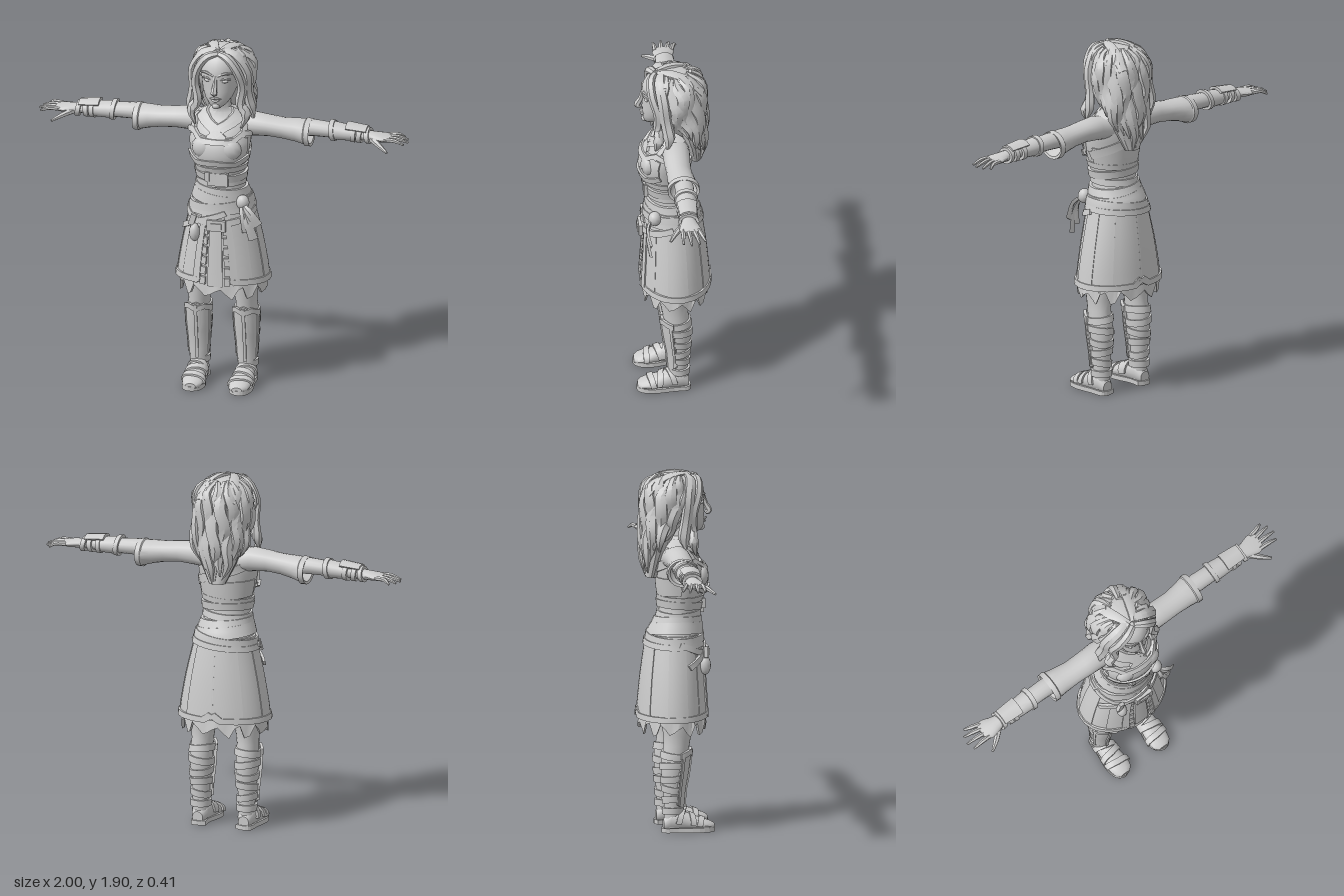
import * as THREE from 'three';
import { toCreasedNormals } from 'three/addons/utils/BufferGeometryUtils.js';

const PI = Math.PI;
const V = (x, y, z) => new THREE.Vector3(x, y, z);
const lerp = THREE.MathUtils.lerp;

// Closed solid from stacked loops of points (counter-clockwise about the stacking direction)
function skin(loops, crease = 0.65) {
  const mid = l => l.reduce((s, p) => s.add(p), V(0, 0, 0)).divideScalar(l.length);
  const first = mid(loops[0]), last = mid(loops[loops.length - 1]), n = loops[0].length;
  const rows = [loops[0].map(() => first), ...loops, loops[0].map(() => last)];
  const idx = [], end = rows.length - 2;
  for (let j = 0; j <= end; j++) for (let i = 0; i < n; i++) {
    const k = (i + 1) % n, a = j * n + i, b = j * n + k, c = b + n, d = a + n;
    if (j > 0) idx.push(a, b, c);
    if (j < end) idx.push(a, c, d);
  }
  const g = new THREE.BufferGeometry().setFromPoints(rows.flat());
  g.setIndex(idx);
  return toCreasedNormals(g, crease);
}

// Surface point on sections [t, cx, cz, rx, rz]; angle 0 faces +z, quarter turn faces +x
const ring = ([t, cx, cz, rx, rz], a, off = 0, wave = 1) =>
  V(cx + (rx * wave + off) * Math.sin(a), t, cz + (rz * wave + off) * Math.cos(a));
const surface = secs => (a, t, off) => {
  let i = 0;
  while (i < secs.length - 2 && t > secs[i + 1][0]) i++;
  const k = (t - secs[i][0]) / (secs[i + 1][0] - secs[i][0]);
  return ring(secs[i].map((v, j) => lerp(v, secs[i + 1][j], k)), a, off);
};
const loft = (secs, n = 20, wave = () => 1, lift = () => 0) => skin(secs.map((s, j) =>
  Array.from({ length: n }, (_, i) => {
    const a = i / n * 2 * PI, p = ring(s, a, 0, wave(a, j));
    p.y += lift(i, j);
    return p;
  })));

// Raised band lying on a surface along a path of [angle, t, width]
function strap(S, path, off = 0.012, steps = 5, rows = 1, deep = 0.015) {
  const pts = [];
  path.forEach((p, i) => {
    const q = path[i + 1];
    if (!q) pts.push(p);
    else for (let k = 0; k < steps; k++) pts.push(p.map((v, j) => lerp(v, q[j], k / steps)));
  });
  return skin(pts.map(([a, t, w], i) => {
    const p = pts[Math.max(0, i - 1)], q = pts[Math.min(pts.length - 1, i + 1)];
    const da = (q[0] - p[0]) * 0.15, dt = q[1] - p[1], L = Math.hypot(da, dt);
    const at = (s, o) => S(a - dt / L * s * w / 2 / 0.15, t + da / L * s * w / 2, o);
    const loop = [];
    for (let k = 0; k <= rows; k++) loop.push(at(1 - 2 * k / rows, off));
    for (let k = 0; k <= rows; k++) loop.push(at(2 * k / rows - 1, off - deep));
    return loop;
  }));
}

// Tapered strand through points [x, y, z, halfWidth, halfThickness]
function strand(points, ref = () => V(0, 1, 0), n = 6, steps = 3) {
  const curve = new THREE.CatmullRomCurve3(points.map(p => V(...p)));
  const m = (points.length - 1) * steps, loops = [];
  for (let s = 0; s <= m; s++) {
    const u = s / m, p = curve.getPoint(u), T = curve.getTangent(u);
    const i = Math.min(points.length - 2, Math.floor(s / steps)), k = s / steps - i;
    const w = lerp(points[i][3], points[i + 1][3], k), h = lerp(points[i][4], points[i + 1][4], k);
    const N = ref(p).addScaledVector(T, -ref(p).dot(T)).normalize(), B = T.clone().cross(N);
    loops.push(Array.from({ length: n }, (_, c) => p.clone()
      .addScaledVector(N, h * Math.cos(c / n * 2 * PI)).addScaledVector(B, w * Math.sin(c / n * 2 * PI))));
  }
  return skin(loops);
}

function mirrored(geo) {
  const g = (geo.index ? geo.toNonIndexed() : geo.clone()).scale(-1, 1, 1);
  for (const at of [g.attributes.position, g.attributes.normal]) for (let i = 0; i < at.count; i += 3) {
    const b = [at.getX(i + 1), at.getY(i + 1), at.getZ(i + 1)];
    at.setXYZ(i + 1, at.getX(i + 2), at.getY(i + 2), at.getZ(i + 2));
    at.setXYZ(i + 2, ...b);
  }
  return g;
}

export function createModel() {
  const model = new THREE.Group();
  const clay = new THREE.MeshStandardMaterial({ color: 0xcccccc });
  clay.name = 'light grey';
  const add = (name, geo) => {
    const m = new THREE.Mesh(geo, clay);
    m.name = name;
    model.add(m);
  };
  const pair = (name, geo) => { add(name + 'Left', geo); add(name + 'Right', mirrored(geo)); };
  const box = (w, h, d, x, y, z, rz = 0, ry = 0) =>
    new THREE.BoxGeometry(w, h, d).rotateZ(rz).rotateY(ry).translate(x, y, z);
  const ball = (x, y, z, rx, ry, rz) => new THREE.SphereGeometry(1, 12, 8).scale(rx, ry, rz).translate(x, y, z);
  const around = (t, w, tilt = 0, ph = 0) => Array.from({ length: 13 }, (_, i) =>
    [i / 6 * PI, t + tilt * Math.sin(i / 6 * PI + ph), w]);

  // Torso and neck
  const body = [[0.95, 0, 0, 0.165, 0.14], [1.05, 0, 0.005, 0.147, 0.132], [1.12, 0, 0.02, 0.125, 0.11],
    [1.18, 0, 0.028, 0.122, 0.103], [1.25, 0, 0.035, 0.135, 0.118], [1.32, 0, 0.04, 0.15, 0.132],
    [1.38, 0, 0.035, 0.16, 0.128], [1.45, 0, 0.01, 0.16, 0.108], [1.5, 0, 0, 0.14, 0.085],
    [1.535, 0, 0.005, 0.09, 0.06], [1.56, 0, 0.02, 0.05, 0.048], [1.63, 0, 0.035, 0.046, 0.046]];
  const B = surface(body);
  add('torso', loft(body, 28));
  add('breastplate', strap(B, [[-1.2, 1.36, 0.1], [-0.75, 1.35, 0.15], [-0.3, 1.34, 0.15], [0.3, 1.34, 0.15],
    [0.75, 1.35, 0.15], [1.2, 1.36, 0.1]], 0.012, 4, 5));
  add('breastplateLowerTrim', strap(B, [[-1.3, 1.31, 0.03], [-0.7, 1.275, 0.03], [0, 1.285, 0.03], [0.7, 1.275, 0.03], [1.3, 1.31, 0.03]], 0.024));
  add('breastplateUpperTrim', strap(B, [[-1.3, 1.43, 0.025], [-0.85, 1.44, 0.025], [-0.5, 1.4, 0.025], [0.5, 1.4, 0.025],
    [0.85, 1.44, 0.025], [1.3, 1.43, 0.025]], 0.022));
  pair('bust', ball(0.07, 1.355, 0.13, 0.065, 0.06, 0.045));
  pair('collar', strap(B, [[-0.25, 1.41, 0.035], [0.25, 1.47, 0.04], [1, 1.525, 0.04], [2.2, 1.53, 0.04], [PI, 1.535, 0.04]], 0.014));
  pair('innerCollar', strap(B, [[-0.1, 1.46, 0.02], [0.5, 1.51, 0.025], [1.3, 1.55, 0.025]], 0.018));
  pair('shoulderStrap', strap(B, [[0.85, 1.42, 0.03], [0.95, 1.47, 0.03], [1.2, 1.52, 0.03]], 0.02));
  add('backStrap', strap(B, [[1.6, 1.3, 0.045], [PI, 1.38, 0.045], [4.6, 1.46, 0.045]], 0.012));
  add('backPlate', strap(B, [[1.7, 1.3, 0.09], [PI, 1.29, 0.1], [4.58, 1.3, 0.09]], 0.008, 6, 2));

  // Layered waist wraps, sash and buckles
  [[1.235, 0.03, 0.008, 0], [1.195, 0.04, -0.01, 1], [1.15, 0.035, 0.01, 0.5], [1.11, 0.04, -0.012, 0]].forEach(
    ([t, w, tilt, ph], i) => add('waistWrap' + (i + 1), strap(B, around(t, w, tilt, ph), 0.01 + (i % 2) * 0.006, 2)));
  add('sash', strap(B, around(1.065, 0.06, -0.02), 0.018, 2, 3));
  add('sashFold', strap(B, around(1.03, 0.04, 0.02), 0.022, 2, 2));
  add('waistPlate', box(0.11, 0.07, 0.02, 0.01, 1.185, 0.145));
  pair('waistClasp', box(0.025, 0.05, 0.02, 0.045, 1.2, 0.15));
  add('sashKnot', ball(0.135, 1.055, 0.105, 0.036, 0.04, 0.035));
  [[0.2, 0.86], [0.165, 0.9], [0.225, 0.94]].forEach(([x, y], i) => add('sashTail' + (i + 1),
    strand([[0.135, 1.05, 0.12, 0.012, 0.008], [(0.135 + x) / 2, (1.05 + y) / 2 + 0.02, 0.145, 0.02, 0.008],
      [x, y, 0.13, 0.026, 0.006]], () => V(0.3, 0, 1), 4)));

  // Skirt: ragged under-layer, open coat, trims and front panel
  const tri = i => (i % 4 < 2 ? 0.022 : -0.022) + (i % 3 - 1) * 0.012;
  add('raggedUnderskirt', loft([[0.7, 0, -0.01, 0.17, 0.13], [0.555, 0, -0.01, 0.22, 0.165], [0.55, 0, -0.01, 0.235, 0.178],
    [0.64, 0, -0.01, 0.225, 0.168], [0.8, 0, -0.008, 0.195, 0.152], [0.95, 0, -0.003, 0.168, 0.142], [1.06, 0, 0, 0.135, 0.125]],
  48, (a, j) => 1 + (j < 3 ? 0.03 : 0) * Math.cos(12 * a), (i, j) => j === 1 || j === 2 ? tri(i) : 0));
  const skirt = [[0.58, 0, -0.01, 0.244, 0.18], [0.7, 0, -0.01, 0.228, 0.172], [0.82, 0, -0.008, 0.205, 0.162],
    [0.94, 0, -0.004, 0.177, 0.15], [1.06, 0, 0, 0.147, 0.134]];
  const K = surface(skirt);
  const edges = [0.42, 0.85, 1.3, 1.85, 2.45, PI];
  edges.slice(0, -1).forEach((a, i) => {
    const b = edges[i + 1], w = 0.43;
    pair('skirtPanel' + (i + 1), strap(K, [[a - 0.02, 0.825, w], [b + 0.02, 0.825, w]], i % 2 ? 0.005 : 0.009, 5, 6));
  });
  pair('skirtHemTrim', strap(K, [[0.36, 0.615, 0.03], [0.42, 0.62, 0.03], [1.2, 0.612, 0.03], [2.3, 0.61, 0.03], [2.95, 0.612, 0.03], [PI, 0.645, 0.03]], 0.016, 4));
  pair('coatEdge', strap(K, [[0.42, 0.61, 0.025], [0.4, 0.8, 0.025], [0.34, 1.02, 0.025]], 0.016));
  add('frontPanel', strap(K, [[-0.17, 0.77, 0.36], [0.17, 0.77, 0.36]], 0.004, 4, 5));
  for (let i = 0; i < 6; i++) pair('skirtLacePlate' + (i + 1), strap(K, [[0.21, 0.62 + i * 0.055, 0.04], [0.33, 0.62 + i * 0.055, 0.04]], 0.012, 2));
  add('hipBelt', strap(K, around(1.0, 0.03, 0.015), 0.018, 2));
  add('lowSlungBelt', strap(K, [[-1.5, 1.0, 0.03], [-0.8, 0.955, 0.03], [0, 0.935, 0.035], [0.8, 0.96, 0.03], [1.5, 1.0, 0.03]], 0.022));
  add('crossBelt', strap(K, [[-1.2, 0.88, 0.028], [-0.5, 0.945, 0.028], [0.3, 1.0, 0.028]], 0.026));
  add('beltBuckle', box(0.1, 0.06, 0.02, 0.01, 0.935, 0.172));
  add('beltBuckleInset', box(0.06, 0.03, 0.03, 0.01, 0.935, 0.174));
  add('beltPouch', ball(-0.115, 0.88, 0.15, 0.028, 0.05, 0.03));
  add('beltPouchTie', box(0.03, 0.06, 0.02, -0.125, 0.95, 0.15, -0.3));

  // Head and face
  add('head', loft([[1.582, 0, 0.12, 0.018, 0.022], [1.6, 0, 0.1, 0.045, 0.055], [1.635, 0, 0.08, 0.072, 0.08],
    [1.68, 0, 0.06, 0.09, 0.102], [1.73, 0, 0.05, 0.099, 0.108], [1.765, 0, 0.045, 0.103, 0.117],
    [1.81, 0, 0.04, 0.104, 0.117], [1.85, 0, 0.03, 0.09, 0.105], [1.88, 0, 0.02, 0.05, 0.06]], 24));
  const forward = () => V(0, 0, 1);
  add('nose', strand([[0, 1.772, 0.153, 0.011, 0.012], [0, 1.72, 0.168, 0.012, 0.015], [0, 1.685, 0.186, 0.019, 0.018], [0, 1.672, 0.168, 0.014, 0.01]], forward));
  add('upperLip', strand([[-0.03, 1.641, 0.147, 0.004, 0.005], [0, 1.648, 0.166, 0.008, 0.01], [0.03, 1.641, 0.147, 0.004, 0.005]], forward));
  add('lowerLip', strand([[-0.026, 1.636, 0.147, 0.004, 0.005], [0, 1.629, 0.16, 0.009, 0.011], [0.026, 1.636, 0.147, 0.004, 0.005]], forward));
  add('chin', ball(0, 1.6, 0.145, 0.022, 0.018, 0.02));
  pair('eye', ball(0.044, 1.74, 0.141, 0.021, 0.01, 0.012));
  pair('upperLid', strand([[0.018, 1.742, 0.151, 0.004, 0.004], [0.044, 1.755, 0.15, 0.006, 0.007], [0.074, 1.748, 0.128, 0.004, 0.005]], forward));
  pair('brow', strand([[0.012, 1.768, 0.158, 0.006, 0.006], [0.05, 1.785, 0.152, 0.008, 0.008], [0.088, 1.775, 0.118, 0.004, 0.005]], forward));

  // Hair: core volume, wavy locks around the head and strands framing the face
  const hair = [[1.34, 0, -0.12, 0.045, 0.03], [1.45, 0, -0.105, 0.1, 0.045], [1.55, 0, -0.085, 0.135, 0.075],
    [1.65, 0, -0.055, 0.14, 0.105], [1.75, 0, -0.03, 0.147, 0.128], [1.82, 0, -0.02, 0.135, 0.13],
    [1.865, 0, -0.01, 0.1, 0.105], [1.885, 0, 0, 0.05, 0.06]];
  const H = surface(hair);
  const outward = p => p.clone().sub(V(0, 1.66, -0.02));
  add('hairCore', loft(hair, 32, a => 0.97 + 0.04 * Math.abs(Math.sin(8 * a))));
  const count = 15;
  for (let i = 0; i < count; i++) {
    const a = lerp(1.0, 2 * PI - 1.0, i / (count - 1)), back = 0.5 - 0.5 * Math.cos(a);
    const tip = lerp(1.55, 1.33, back ** 2) + (i % 3) * 0.025;
    const pts = [0, 0.09, 0.25, 0.45, 0.65, 0.83, 1].map((k, j) => {
      const p = H(a + 0.11 * Math.sin(j * 2.1 + i * 1.7), lerp(1.88, tip, k), 0.006 + 0.012 * Math.sin(j * 1.8 + i * 2));
      return [p.x, p.y, p.z, [0.014, 0.026, 0.036, 0.036, 0.034, 0.026, 0.005][j], [0.012, 0.016, 0.02, 0.02, 0.022, 0.018, 0.004][j]];
    });
    add('hairLock' + (i + 1), strand(pts, p => V(p.x, Math.max(0, p.y - 1.75), p.z + 0.03), 6));
  }
  pair('frontHairLock', strand([[0.004, 1.872, 0.095, 0.018, 0.014], [0.055, 1.862, 0.12, 0.024, 0.018], [0.107, 1.79, 0.115, 0.025, 0.02],
    [0.127, 1.69, 0.085, 0.026, 0.022], [0.115, 1.6, 0.085, 0.026, 0.024], [0.15, 1.54, 0.085, 0.03, 0.024], [0.125, 1.47, 0.1, 0.006, 0.005]], outward));
  pair('sideHairLock', strand([[0.01, 1.885, 0.06, 0.02, 0.012], [0.09, 1.865, 0.075, 0.03, 0.016], [0.15, 1.77, 0.06, 0.032, 0.02],
    [0.15, 1.66, 0.045, 0.032, 0.022], [0.165, 1.57, 0.03, 0.034, 0.026], [0.175, 1.51, 0.04, 0.008, 0.008]], outward));
  pair('crownHairLock', strand([[0.012, 1.883, 0.08, 0.018, 0.012], [0.045, 1.888, 0.01, 0.028, 0.014], [0.075, 1.86, -0.08, 0.032, 0.016], [0.085, 1.79, -0.15, 0.03, 0.014]], outward));

  // Arms, built upright then laid along x
  const lay = g => g.rotateZ(-PI / 2);
  pair('sleeve', lay(loft([[0.08, -1.45, -0.01, 0.06, 0.07], [0.16, -1.462, -0.008, 0.064, 0.072], [0.25, -1.46, -0.006, 0.056, 0.068],
    [0.33, -1.452, -0.008, 0.055, 0.066], [0.4, -1.445, -0.015, 0.062, 0.073], [0.445, -1.438, -0.02, 0.068, 0.08],
    [0.45, -1.437, -0.02, 0.075, 0.086], [0.478, -1.435, -0.02, 0.072, 0.084], [0.474, -1.437, -0.02, 0.06, 0.07], [0.41, -1.45, -0.02, 0.045, 0.05]],
  20, (a, j) => 1 + (j < 4 ? 0.02 : 0) * Math.sin(5 * a + j))));
  const arm = [[0.4, -1.46, -0.02, 0.045, 0.05], [0.5, -1.463, -0.022, 0.043, 0.05], [0.58, -1.46, -0.022, 0.04, 0.048],
    [0.68, -1.455, -0.02, 0.032, 0.042], [0.78, -1.45, -0.02, 0.026, 0.034], [0.82, -1.448, -0.02, 0.024, 0.045],
    [0.865, -1.446, -0.022, 0.02, 0.058], [0.905, -1.445, -0.024, 0.013, 0.052]];
  const A = surface(arm);
  pair('forearmAndHand', lay(loft(arm, 16)));
  pair('bracer', lay(strap(A, around(0.65, 0.11), 0.009, 2, 3)));
  [0.595, 0.705, 0.745, 0.785].forEach((t, i) => pair('wristWrap' + (i + 1), lay(strap(A, around(t, 0.024, 0.006, i * 2), 0.016, 2))));
  pair('bracerPlate', lay(strap(A, [[-2.4, 0.725, 0.11], [-0.7, 0.725, 0.11]], 0.026, 4, 3)));
  [[-0.095, 0.965], [-0.062, 0.99], [-0.02, 1], [0.022, 0.985]].forEach(([z, x], i) => {
    const z0 = -0.066 + i * 0.028;
    pair('finger' + (i + 1), strand([[0.88, 1.447, z0, 0.013, 0.013], [0.935, 1.447, (z + z0) / 2, 0.012, 0.011], [x, 1.43, z, 0.006, 0.006]]));
  });
  pair('thumb', strand([[0.81, 1.44, 0.005, 0.018, 0.018], [0.86, 1.425, 0.05, 0.015, 0.014], [0.91, 1.402, 0.085, 0.007, 0.007]]));

  // Legs with greaves and wraps
  const leg = [[0.03, 0.13, -0.03, 0.04, 0.042], [0.12, 0.13, -0.025, 0.043, 0.045], [0.22, 0.13, -0.025, 0.049, 0.052],
    [0.32, 0.13, -0.02, 0.058, 0.066], [0.4, 0.13, -0.014, 0.06, 0.07], [0.46, 0.128, -0.004, 0.057, 0.068],
    [0.52, 0.125, 0, 0.062, 0.075], [0.6, 0.12, 0, 0.075, 0.085], [0.75, 0.095, 0, 0.085, 0.1]];
  const L = surface(leg);
  pair('leg', loft(leg, 18));
  pair('greave', strap(L, [[-1.25, 0.285, 0.27], [-0.4, 0.28, 0.31], [0, 0.285, 0.33], [0.4, 0.28, 0.31], [1.25, 0.285, 0.27]], 0.014, 3, 6));
  pair('greaveRidge', strap(L, [[0, 0.13, 0.035], [0, 0.3, 0.035], [0, 0.44, 0.03]], 0.022));
  for (const s of [-1, 1]) pair(s < 0 ? 'greaveInnerEdge' : 'greaveOuterEdge', strap(L, [[s * 1.1, 0.15, 0.025], [s * 1.1, 0.42, 0.025]], 0.02, 8));
  pair('kneeTrim', strap(L, [[-1.3, 0.41, 0.03], [-0.6, 0.43, 0.03], [0, 0.415, 0.03], [0.6, 0.43, 0.03], [1.3, 0.41, 0.03]], 0.021));
  [0.17, 0.23, 0.29, 0.35, 0.41].forEach((t, i) => pair('calfWrap' + (i + 1), strap(L, around(t, 0.036, 0.01 * (i % 2 ? -1 : 1), i), 0.009, 2)));
  pair('ankleCuff', strap(L, around(0.115, 0.035), 0.012, 2));

  // Shoes, lofted heel to toe
  const foot = [[-0.075, 0.13, -0.04, 0.03, 0.032], [-0.04, 0.13, -0.06, 0.046, 0.055], [0.02, 0.13, -0.06, 0.05, 0.056],
    [0.08, 0.128, -0.047, 0.054, 0.042], [0.14, 0.126, -0.036, 0.059, 0.031], [0.175, 0.126, -0.03, 0.05, 0.025], [0.195, 0.126, -0.026, 0.028, 0.016]];
  const F = surface(foot), tip = g => g.rotateX(PI / 2);
  pair('foot', tip(loft(foot, 16)));
  [[0.02, 0.03, 0.02], [0.065, 0.03, -0.015], [0.12, 0.03, 0.01]].forEach(([t, w, s], i) =>
    pair('shoeStrap' + (i + 1), tip(strap(F, [[1.4, t - s, w], [PI, t + 0.01, w], [4.88, t + s, w]], 0.01))));
  const outline = new THREE.Shape(new THREE.SplineCurve([[0.085, 0.07], [0.09, 0], [0.068, -0.1], [0.08, -0.17], [0.125, -0.2],
    [0.17, -0.18], [0.188, -0.11], [0.175, 0], [0.17, 0.07], [0.13, 0.085], [0.085, 0.07]].map(p => new THREE.Vector2(...p))).getPoints(30));
  pair('sole', new THREE.ExtrudeGeometry(outline, { depth: 0.024, bevelEnabled: false }).rotateX(-PI / 2));
  return model;
}
